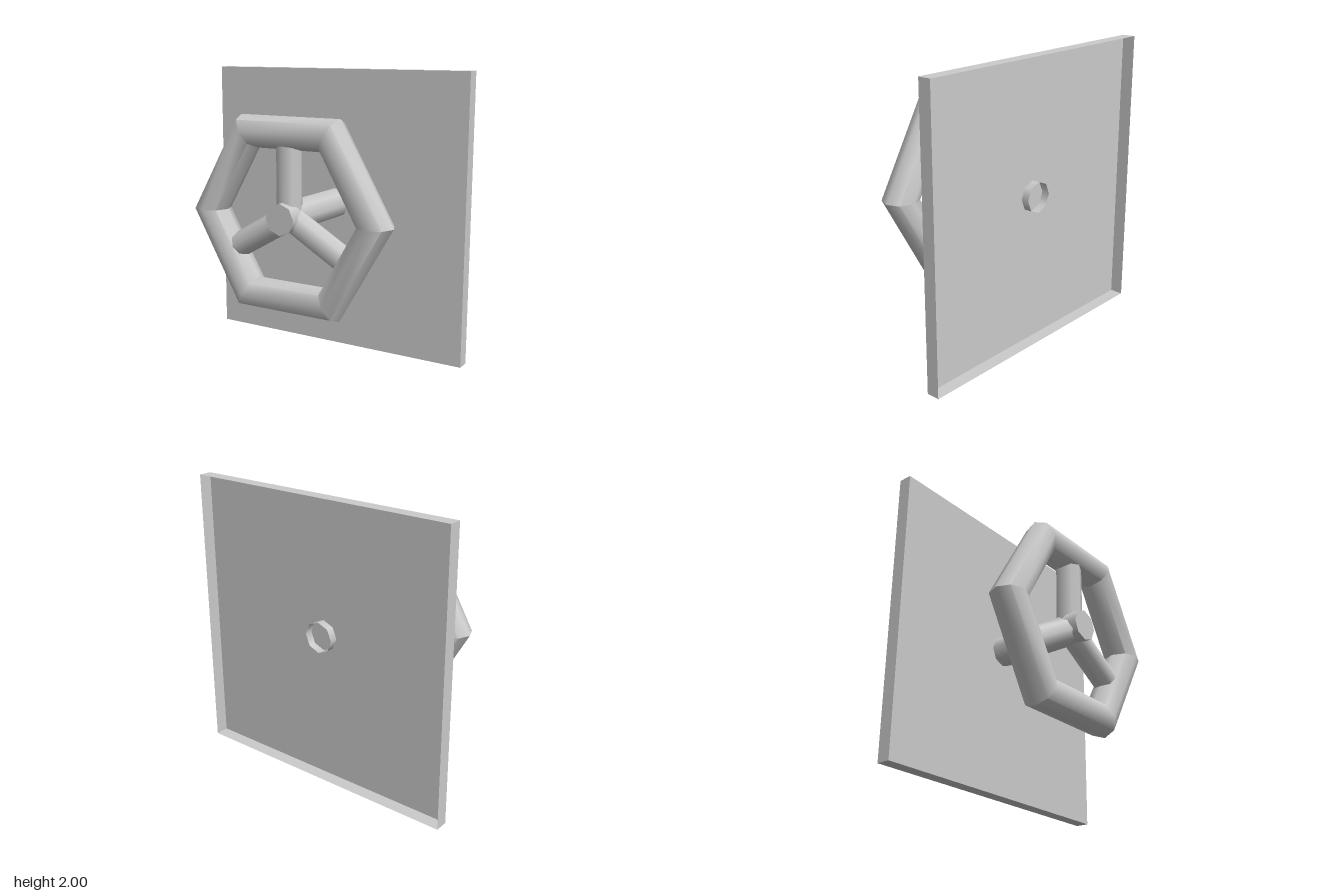
import * as THREE from 'three';
import { toCreasedNormals } from 'three/addons/utils/BufferGeometryUtils.js';

const CENTER_Y = 1.047; // wheel axis height
const WHEEL_Z = 0.278; // middle plane of the wheel
const PLATE_FRONT = -0.31;
const PLATE_BACK = -0.403;

export function createModel() {
  const model = new THREE.Group();
  model.name = 'wallValveWheel';
  const material = new THREE.MeshStandardMaterial({ color: 0xcccccc, side: THREE.DoubleSide });

  const add = (parent, name, geometry, x = 0, y = 0, z = 0) => {
    const mesh = new THREE.Mesh(geometry, material);
    mesh.name = name;
    mesh.position.set(x, y, z);
    parent.add(mesh);
    return mesh;
  };

  // Wall plate: a thin front panel with four folded edges, open at the back
  const plate = new THREE.Group();
  plate.name = 'wallPlate';
  plate.position.y = 1;
  model.add(plate);
  add(plate, 'platePanel', new THREE.PlaneGeometry(2, 2), 0, 0, PLATE_FRONT);
  const depth = PLATE_FRONT - PLATE_BACK;
  for (let i = 0; i < 4; i++) {
    const edge = new THREE.PlaneGeometry(2, depth);
    edge.rotateX(-Math.PI / 2).translate(0, 1, (PLATE_FRONT + PLATE_BACK) / 2);
    add(plate, 'plateEdge', edge).rotation.z = (i * Math.PI) / 2;
  }

  const wheel = new THREE.Group();
  wheel.name = 'handWheel';
  wheel.position.set(0, CENTER_Y, 0);
  model.add(wheel);

  // Six-sided rim, rounded across its section and creased at the corners
  const rim = toCreasedNormals(new THREE.TorusGeometry(0.64, 0.126, 8, 6), 0.96);
  add(wheel, 'rim', rim, 0, 0, WHEEL_Z);

  // Three spokes running from the axis into the rim
  for (let i = 0; i < 3; i++) {
    const spoke = new THREE.CylinderGeometry(0.088, 0.088, 0.554, 8, 1, true);
    spoke.translate(0, 0.277, 0);
    add(wheel, 'spoke', spoke, 0, 0, WHEEL_Z).rotation.z = (i * Math.PI * 2) / 3;
  }

  // Shaft: capped in front, its open end poking out behind the panel
  const front = 0.402;
  const back = -0.366;
  const shaft = new THREE.CylinderGeometry(0.108, 0.108, front - back, 8, 1, true);
  shaft.rotateX(Math.PI / 2);
  add(wheel, 'shaft', shaft, 0, 0, (front + back) / 2);
  add(wheel, 'shaftCap', new THREE.CircleGeometry(0.108, 8), 0, 0, front);

  return model;
}
